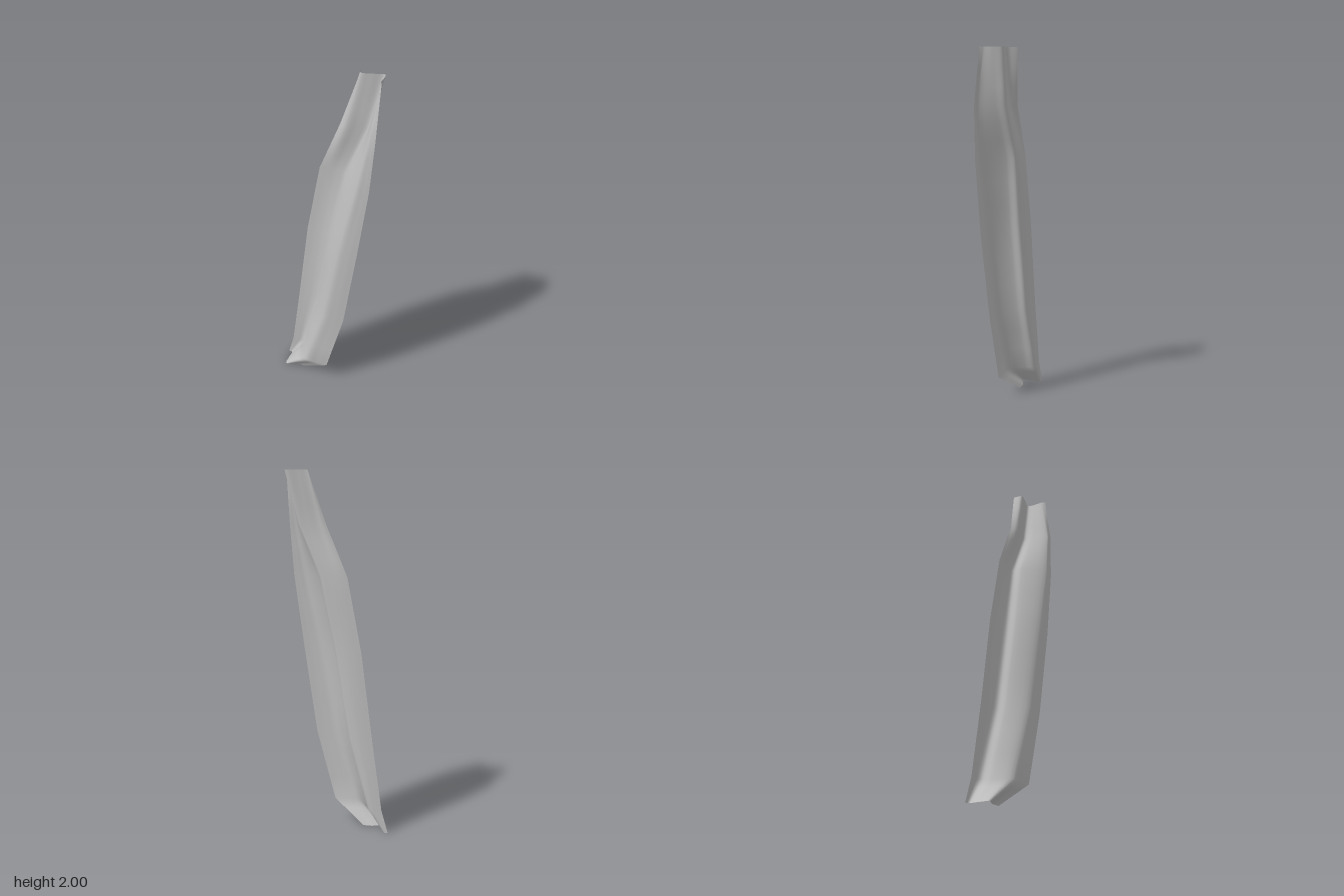
import * as THREE from 'three';

// Each section: height, then [x, z] of left edge, upper and lower flange, valley, step, right ridge, right slope, right edge
const SECTIONS = [
  [0.00, [-0.295, 0.105], [-0.288, 0.102], [-0.28, 0.098], [-0.27, 0.099], [-0.245, 0.138], [-0.207, 0.183], [-0.165, 0.128], [-0.12, 0.1]],
  [0.13, [-0.26, 0.09], [-0.238, 0.071], [-0.218, 0.056], [-0.192, 0.056], [-0.155, 0.093], [-0.06, 0.132], [0.01, 0.095], [0.065, 0.06]],
  [0.53, [-0.207, 0.067], [-0.172, 0.04], [-0.132, 0.016], [-0.09, 0.009], [-0.055, 0.045], [0.06, 0.08], [0.115, 0.047], [0.16, 0.008]],
  [1.02, [-0.15, 0.037], [-0.112, 0.007], [-0.065, -0.018], [-0.018, -0.027], [0.017, 0.012], [0.145, 0.042], [0.195, 0.014], [0.233, -0.02]],
  [1.43, [-0.08, 0.0], [-0.043, -0.031], [0.002, -0.062], [0.047, -0.081], [0.084, -0.045], [0.225, -0.006], [0.26, -0.03], [0.282, -0.049]],
  [1.71, [0.02, -0.06], [0.063, -0.06], [0.108, -0.104], [0.15, -0.136], [0.188, -0.1], [0.264, -0.048], [0.285, -0.058], [0.296, -0.066]],
  [2.00, [0.08, -0.14], [0.118, -0.104], [0.16, -0.14], [0.203, -0.185], [0.236, -0.153], [0.262, -0.114], [0.275, -0.104], [0.283, -0.1]],
];
const ACROSS = 35; // steps across the strip
const RISE = 3;    // steps between sections

export function createModel() {
  const grey = new THREE.MeshStandardMaterial({ color: 0xbfbfbf, side: THREE.DoubleSide });
  grey.name = 'pale grey';

  // Smooth wavy rows through each section
  const rows = SECTIONS.map(([y, ...pts]) =>
    new THREE.CatmullRomCurve3(pts.map(([x, z]) => new THREE.Vector3(x, y, z)), false, 'centripetal'));
  const sample = rows.map(c => Array.from({ length: ACROSS + 1 }, (_, i) => c.getPoint(i / ACROSS)));

  // Straight runs between the rows
  const positions = [], index = [];
  const count = (rows.length - 1) * RISE;
  for (let j = 0; j <= count; j++) {
    const k = Math.min(Math.floor(j / RISE), rows.length - 2);
    const t = j / RISE - k;
    for (let i = 0; i <= ACROSS; i++) {
      const p = sample[k][i].clone().lerp(sample[k + 1][i], t);
      positions.push(p.x, p.y, p.z);
    }
  }
  const w = ACROSS + 1;
  for (let j = 0; j < count; j++) {
    for (let i = 0; i < ACROSS; i++) {
      const a = j * w + i;
      index.push(a, a + 1, a + w, a + 1, a + w + 1, a + w);
    }
  }
  const geometry = new THREE.BufferGeometry();
  geometry.setAttribute('position', new THREE.Float32BufferAttribute(positions, 3));
  geometry.setIndex(index);
  geometry.computeVertexNormals();

  const strip = new THREE.Mesh(geometry, grey);
  strip.name = 'wavyStrip';
  const group = new THREE.Group();
  group.name = 'foldedStrip';
  group.add(strip);
  return group;
}
